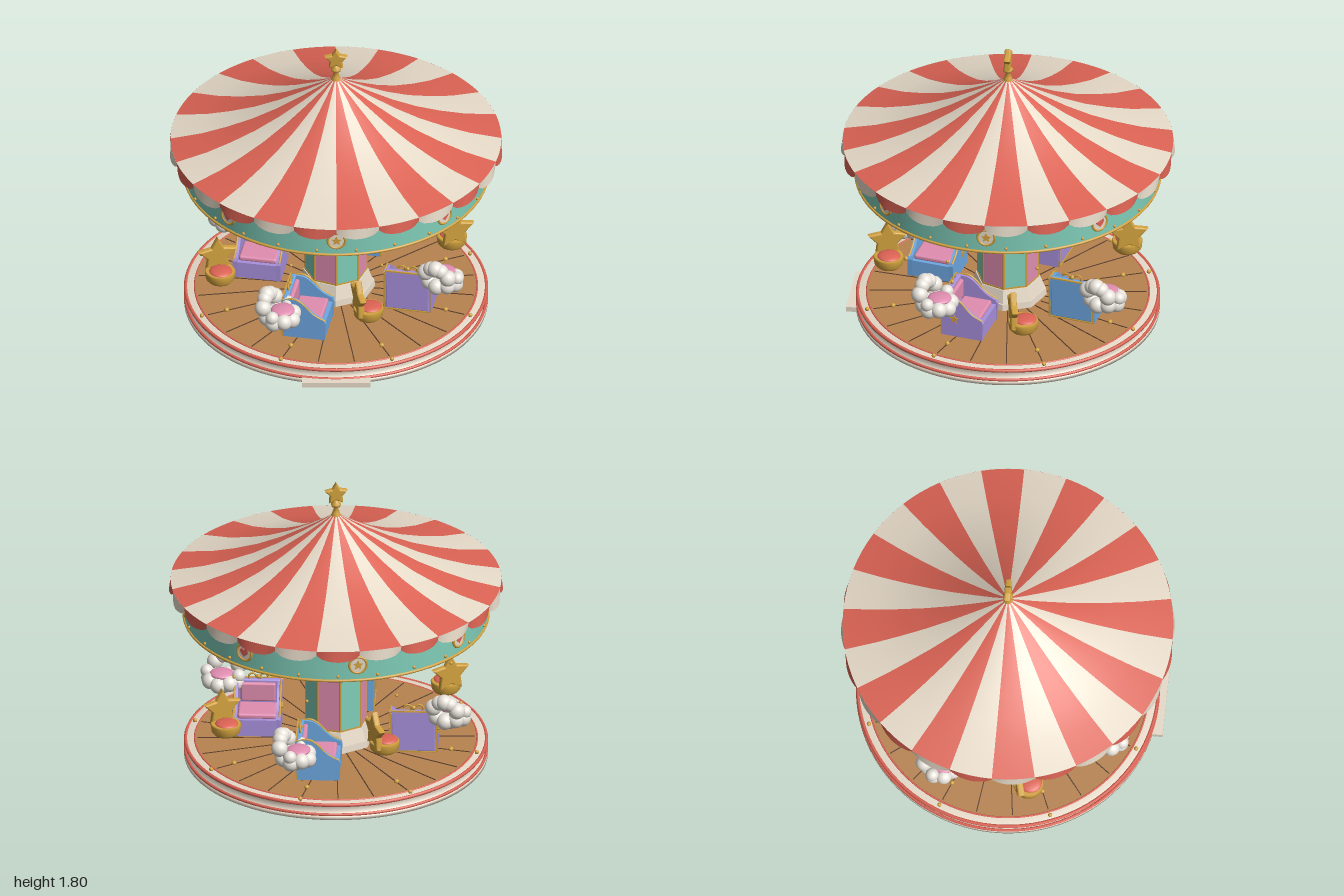
import * as THREE from 'three';
import { mergeGeometries } from 'three/addons/utils/BufferGeometryUtils.js';
import { RoundedBoxGeometry } from 'three/addons/geometries/RoundedBoxGeometry.js';

const mat = (name, color, side = THREE.FrontSide) => {
  const m = new THREE.MeshStandardMaterial({ color, side });
  m.name = name;
  return m;
};
const M = {
  cream: mat('cream', 0xe6dac8, THREE.DoubleSide), red: mat('red', 0xdc6354, THREE.DoubleSide),
  teal: mat('teal', 0x80cdb9, THREE.DoubleSide), gold: mat('gold', 0xd2a23f),
  pink: mat('pink', 0xe08db0), purple: mat('purple', 0xa891dc), blue: mat('blue', 0x6ea8e2),
  wood: mat('wood', 0xb78350), dark: mat('dark wood', 0x5a4030), white: mat('cloud white', 0xe9e4dc),
};
const rad = THREE.MathUtils.degToRad;
const V2 = (x, y) => new THREE.Vector2(x, y);

function add(parent, name, geo, m, x = 0, y = 0, z = 0) {
  const mesh = new THREE.Mesh(geo, m);
  mesh.name = name;
  mesh.position.set(x, y, z);
  parent.add(mesh);
  return mesh;
}
// Group at angle a (0 = front, toward +x), local +z pointing outward, +x along the ride direction
function spoke(parent, name, a, r, y, turn = 0) {
  const g = new THREE.Group();
  g.name = name;
  g.position.set(Math.sin(rad(a)) * r, y, Math.cos(rad(a)) * r);
  g.rotation.y = rad(a + turn);
  parent.add(g);
  return g;
}
const ring = (r, tube) => new THREE.TorusGeometry(r, tube, 8, 96).rotateX(Math.PI / 2);
const lathe = (pts, n = 96, start = 0, len = Math.PI * 2) =>
  new THREE.LatheGeometry(pts.map(p => V2(p[0], p[1])), n, start, len);
const octagon = (r1, r2, h) => new THREE.CylinderGeometry(r1, r2, h, 8).toNonIndexed();
const flat = geo => { geo.computeVertexNormals(); return geo; };

function starShape(R, inner = 0.48) {
  const pts = [];
  for (let i = 0; i < 10; i++) {
    const t = i * Math.PI / 5, q = i % 2 ? R * inner : R;
    pts.push(V2(Math.sin(t) * q, Math.cos(t) * q));
  }
  return new THREE.Shape(pts);
}
function heartShape(s) {
  const h = new THREE.Shape();
  h.moveTo(0, -s);
  h.bezierCurveTo(s * 0.5, -s * 0.5, s, -s * 0.1, s, s * 0.35);
  h.bezierCurveTo(s, s * 0.95, s * 0.2, s, 0, s * 0.45);
  h.bezierCurveTo(-s * 0.2, s, -s, s * 0.95, -s, s * 0.35);
  h.bezierCurveTo(-s, -s * 0.1, -s * 0.5, -s * 0.5, 0, -s);
  return h;
}
const plate = (shape, depth = 0.008) => new THREE.ExtrudeGeometry(shape, { depth, bevelEnabled: false, curveSegments: 8 });
const puffyStar = R => new THREE.ExtrudeGeometry(starShape(R - 0.01, 0.5),
  { depth: 0.016, bevelEnabled: true, bevelSize: 0.01, bevelThickness: 0.012, bevelSegments: 3 }).translate(0, 0, -0.008);

function platform(root) {
  const g = spoke(root, 'platform', 0, 0, 0);
  add(g, 'platformBody', lathe([[0, 0], [0.91, 0], [0.91, 0.022], [0.885, 0.036], [0.875, 0.075], [0.9, 0.085], [0.9, 0.1], [0.82, 0.102]]), M.cream);
  add(g, 'lowerRedBand', ring(0.902, 0.009), M.red, 0, 0.032);
  add(g, 'upperRedBand', ring(0.9, 0.011), M.red, 0, 0.094);
  add(g, 'innerRedBand', ring(0.845, 0.006), M.red, 0, 0.101);
  add(g, 'floor', new THREE.CylinderGeometry(0.84, 0.84, 0.01, 96), M.wood, 0, 0.099);
  add(g, 'entryStep', new THREE.BoxGeometry(0.41, 0.032, 0.2), M.cream, 0, 0.018, 0.85);
  for (let i = 0; i < 24; i++) // plank seams
    add(spoke(g, 'plankSeam', i * 15 + 7.5, 0.53, 0.105), 'seam', new THREE.BoxGeometry(0.006, 0.004, 0.6), M.dark);
  for (let i = 0; i < 8; i++) {
    const a = 22.5 + i * 45;
    add(spoke(g, 'floorKnob', a, 0.71, 0.11), 'knob', new THREE.SphereGeometry(0.015, 12, 8), M.gold);
    add(spoke(g, 'rimKnob', a, 0.87, 0.11), 'knob', new THREE.SphereGeometry(0.013, 12, 8), M.gold);
    add(spoke(g, 'hangingBead', a, 0.71, 0.685), 'bead', new THREE.SphereGeometry(0.01, 12, 8), M.gold);
  }
}

function column(root) {
  const g = spoke(root, 'column', 0, 0, 0);
  const tier = (name, top, bottom, y0, y1) =>
    add(g, name, flat(octagon(top, bottom, y1 - y0)), M.cream, 0, (y0 + y1) / 2);
  tier('columnFoot', 0.23, 0.235, 0.1, 0.145);
  tier('columnBase', 0.195, 0.22, 0.145, 0.225);
  tier('columnCore', 0.18, 0.18, 0.2, 0.85);
  tier('collar', 0.195, 0.19, 0.835, 0.89);
  tier('collarFlare', 0.235, 0.195, 0.89, 0.94);
  tier('columnHead', 0.235, 0.235, 0.94, 1.12);
  for (let i = 0; i < 8; i++) {
    const teal = i % 2 === 0;
    const p = spoke(g, teal ? 'tealPanel' : 'pinkPanel', 22.5 + i * 45, 0.168, 0.53);
    add(p, 'panel', new THREE.BoxGeometry(0.132, 0.6, 0.008), teal ? M.teal : M.pink);
    add(p, 'emblem', plate(teal ? starShape(0.042) : heartShape(0.036)), M.gold, 0, 0.135, 0.002);
    for (const s of [-1, 1]) add(p, 'panelTrim', new THREE.BoxGeometry(0.13, 0.01, 0.012), M.gold, 0, s * 0.3);
    add(spoke(g, 'goldPost', i * 45, 0.181, 0.53), 'post', new THREE.CylinderGeometry(0.008, 0.008, 0.61, 8), M.gold);
  }
}

// One scalloped flap of the awning edge, 15 degrees wide
function scallop(a0) {
  const pos = [], idx = [], n = 8;
  for (let i = 0; i <= n; i++) {
    const t = i / n, a = rad(a0 + t * 15), bulge = Math.sin(Math.PI * t);
    const r = 0.985 + 0.015 * bulge, drop = 0.03 + 0.036 * Math.sqrt(bulge);
    pos.push(Math.sin(a) * 0.99, 1.162, Math.cos(a) * 0.99, Math.sin(a) * r, 1.162 - drop, Math.cos(a) * r);
    if (i < n) { const k = i * 2; idx.push(k, k + 1, k + 2, k + 1, k + 3, k + 2); }
  }
  const geo = new THREE.BufferGeometry();
  geo.setAttribute('position', new THREE.Float32BufferAttribute(pos, 3));
  geo.setIndex(idx);
  return flat(geo);
}

function canopy(root) {
  const g = spoke(root, 'canopy', 0, 0, 0);
  const profile = [[0.99, 1.162], [0.8, 1.2], [0.65, 1.247], [0.5, 1.305], [0.35, 1.38], [0.2, 1.47], [0.1, 1.535], [0.004, 1.605]];
  const stripes = [[], []], flaps = [[], []];
  for (let i = 0; i < 24; i++) {
    stripes[i % 2].push(lathe(profile, 4, rad(i * 15), rad(15)));
    flaps[i % 2].push(scallop(i * 15));
  }
  add(g, 'redRoofStripes', mergeGeometries(stripes[0]), M.red);
  add(g, 'creamRoofStripes', mergeGeometries(stripes[1]), M.cream);
  add(g, 'creamValance', mergeGeometries(flaps[0]), M.cream);
  add(g, 'redValance', mergeGeometries(flaps[1]), M.red);
  add(g, 'fascia', new THREE.CylinderGeometry(0.91, 0.91, 0.235, 96, 1, true), M.teal, 0, 1.045);
  add(g, 'fasciaTrim', ring(0.911, 0.009), M.gold, 0, 0.931);
  for (let i = 0; i < 24; i++)
    add(spoke(g, 'fasciaStud', i * 15 + 7.5, 0.913, 0.96), 'stud', new THREE.SphereGeometry(0.01, 10, 8), M.gold);
  for (let i = 0; i < 8; i++) { // medallions, star and heart in turn
    const m = spoke(g, 'medallion', i * 45, 0.91, 1.035);
    add(m, 'medallionRim', new THREE.TorusGeometry(0.052, 0.008, 8, 32), M.gold, 0, 0, 0.006);
    add(m, 'medallionDisc', new THREE.CylinderGeometry(0.052, 0.052, 0.009, 32).rotateX(Math.PI / 2), M.cream, 0, 0, 0.004);
    add(m, 'medallionEmblem', plate(i % 2 ? heartShape(0.029) : starShape(0.032)), i % 2 ? M.red : M.gold, 0, 0, 0.005);
  }
  add(g, 'finialBase', lathe([[0.032, 1.575], [0.022, 1.61], [0.012, 1.635], [0.028, 1.65], [0.03, 1.665], [0.012, 1.685], [0, 1.7]], 20), M.gold);
  add(g, 'finialStar', puffyStar(0.068), M.gold, 0, 1.732);
}

function bench(root, a, paint) {
  const g = spoke(root, 'bench', a, 0.48, 0.12, 9);
  const s = new THREE.Shape();
  s.moveTo(-0.13, 0); s.lineTo(-0.135, 0.25);
  s.quadraticCurveTo(-0.12, 0.27, -0.06, 0.262);
  s.bezierCurveTo(0, 0.25, 0.03, 0.16, 0.12, 0.135);
  s.lineTo(0.13, 0.115); s.lineTo(0.125, 0);
  const rim = new THREE.CatmullRomCurve3([[-0.125, 0.255], [-0.06, 0.265], [-0.01, 0.235], [0.05, 0.17], [0.125, 0.13]]
    .map(p => new THREE.Vector3(p[0], p[1], 0)));
  for (const d of [-1, 1]) {
    add(g, 'benchSide', plate(s, 0.028), paint, 0, 0, d * 0.131 - 0.014);
    add(g, 'sideTrim', new THREE.TubeGeometry(rim, 20, 0.007, 6), M.gold, 0, 0, d * 0.138);
    add(g, 'sideStar', plate(starShape(0.03), 0.006), M.gold, -0.05, 0.12, d * 0.147 - 0.003);
    for (const e of [-1, 1]) add(g, 'foot', new THREE.SphereGeometry(0.016, 10, 8), M.gold, e * 0.1, -0.004, d * 0.11);
    add(g, 'crestCurl', new THREE.TorusGeometry(0.022, 0.006, 6, 16, Math.PI * 1.4).rotateY(Math.PI / 2), M.gold, -0.115, 0.283, d * 0.035);
    add(g, 'backTrim', new THREE.BoxGeometry(0.008, 0.26, 0.008), M.gold, -0.134, 0.13, d * 0.138);
  }
  add(g, 'benchBack', new RoundedBoxGeometry(0.035, 0.27, 0.27, 3, 0.012), paint, -0.117, 0.135, 0);
  add(g, 'benchBase', new THREE.BoxGeometry(0.23, 0.105, 0.25), paint, 0.008, 0.054, 0);
  add(g, 'seatCushion', new RoundedBoxGeometry(0.18, 0.035, 0.23, 3, 0.014), M.pink, 0.01, 0.118, 0);
  add(g, 'backCushion', new RoundedBoxGeometry(0.03, 0.12, 0.21, 3, 0.012), M.pink, -0.09, 0.195, 0);
  add(g, 'crestBall', new THREE.SphereGeometry(0.014, 10, 8), M.gold, -0.115, 0.285, 0);
  for (const y of [0.003, 0.268]) add(g, 'backRail', new THREE.BoxGeometry(0.01, 0.008, 0.27), M.gold, -0.134, y, 0);
}

function starSeat(root, a, y) {
  const g = spoke(root, 'starSeat', a, 0.72, y);
  add(g, 'seatCup', lathe([[0, 0], [0.07, 0.002], [0.086, 0.02], [0.092, 0.065], [0.085, 0.074], [0, 0.07]], 32), M.gold);
  add(g, 'seatCushion', new THREE.SphereGeometry(0.07, 24, 12).scale(1, 0.3, 1), M.red, 0.012, 0.072, 0);
  add(g, 'starBack', puffyStar(0.12).rotateY(Math.PI / 2), M.gold, -0.062, 0.145, 0);
}

function cloudSeat(root, a, y) {
  const g = spoke(root, 'cloudSeat', a, 0.72, y);
  const puff = (x, h, z, r) => add(g, 'puff', new THREE.SphereGeometry(r, 20, 14), M.white, x, h, z);
  for (let i = 0; i < 8; i++) {
    const t = i * Math.PI / 4;
    puff(Math.cos(t) * 0.08, 0.055 + (i % 2) * 0.01, Math.sin(t) * 0.085, 0.05);
  }
  puff(0, 0.045, 0, 0.07);
  for (const d of [-1, 1]) {
    puff(-0.075, 0.135, d * 0.075, 0.05);
    puff(-0.085, 0.175, d * 0.035, 0.045);
    puff(0.0, 0.1, d * 0.1, 0.04);
  }
  puff(-0.09, 0.185, 0, 0.05);
  add(g, 'seatCushion', new THREE.SphereGeometry(0.072, 24, 12).scale(1, 0.3, 1), M.pink, 0.02, 0.108, 0);
}

export function createModel() {
  const root = new THREE.Group();
  root.name = 'carousel';
  platform(root);
  column(root);
  canopy(root);
  for (let k = 0; k < 4; k++) {
    const odd = k % 2;
    bench(root, -20 + k * 90, odd ? M.purple : M.blue);
    starSeat(root, 15.5 + k * 90, odd ? 0.27 : 0.34);
    cloudSeat(root, -28 + k * 90, odd ? 0.31 : 0.25);
  }
  return root;
}
